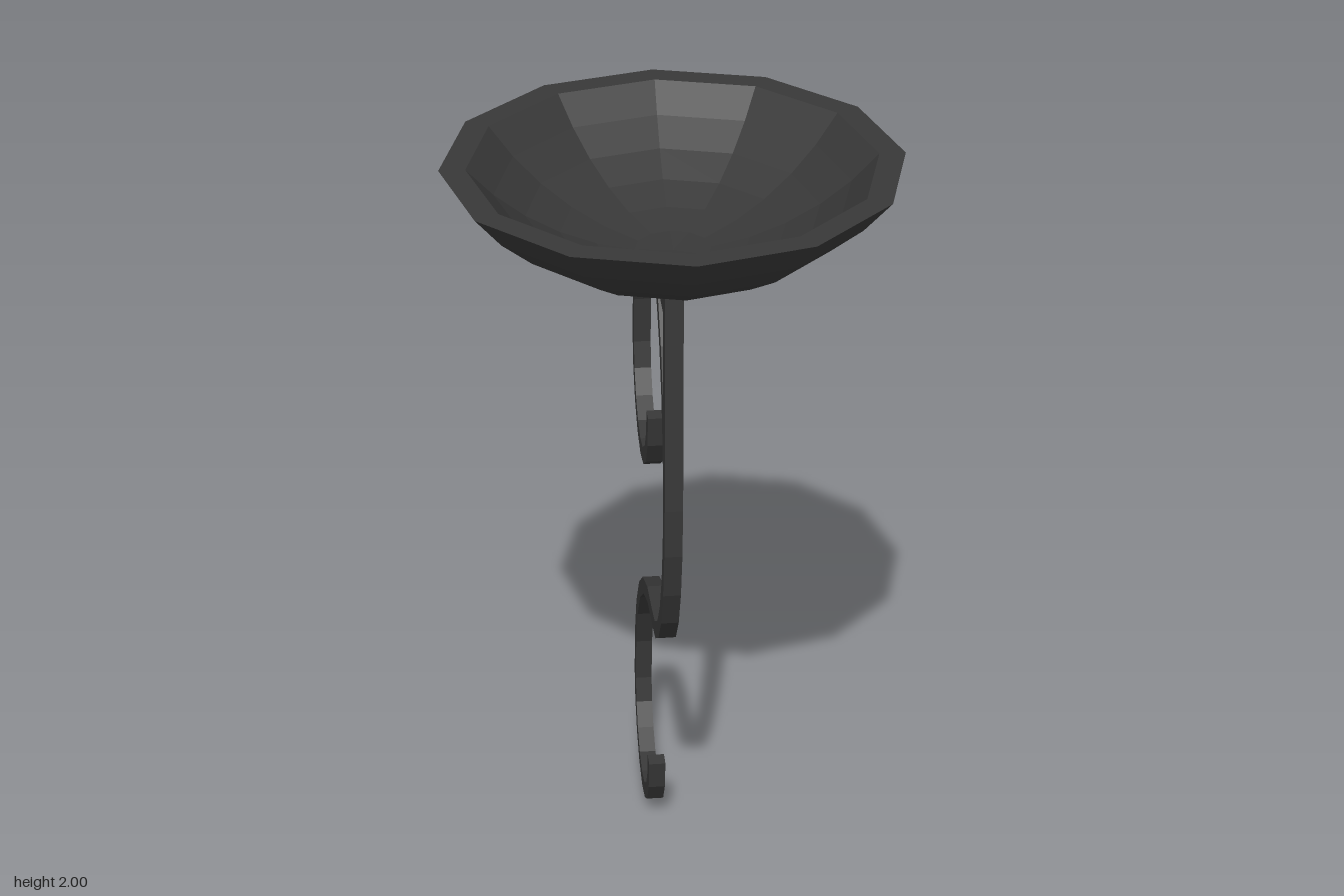
import * as THREE from 'three';

const BAR = 0.04;          // square iron bar thickness
const BOWL_Z = 0.165;      // post and bowl axis
const material = new THREE.MeshStandardMaterial({ color: 0x383838, flatShading: true });

function addMesh(group, geometry, name, x = 0, y = 0, z = 0) {
  const mesh = new THREE.Mesh(geometry, material);
  mesh.name = name;
  mesh.position.set(x, y, z);
  group.add(mesh);
}

// Points on an elliptical arc in the (z, y) plane, angles in degrees
function arc(cz, cy, rz, ry, from, to, steps) {
  return Array.from({ length: steps + 1 }, (_, i) => {
    const a = THREE.MathUtils.degToRad(from + ((to - from) * i) / steps);
    return new THREE.Vector2(cz + rz * Math.cos(a), cy + ry * Math.sin(a));
  });
}

// One scroll: half-circle curl, then a quarter ellipse up to the crest
function scroll(y) {
  return [
    ...arc(-0.435, y, 0.19, 0.19, 0, -180, 8),
    ...arc(-0.13, y, 0.495, 0.49, 180, 90, 6).slice(1),
  ];
}

// Flat ribbon of bar width along a (z, y) path, extruded across x
function barGeometry(path) {
  const left = [], right = [];
  path.forEach((p, i) => {
    const end = i === 0 || i === path.length - 1;
    const t = end
      ? new THREE.Vector2(0, i === 0 ? -1 : 1)
      : path[i + 1].clone().sub(path[i - 1]).normalize();
    const n = new THREE.Vector2(-t.y, t.x).multiplyScalar(BAR / 2);
    left.push(p.clone().add(n));
    right.unshift(p.clone().sub(n));
  });
  const shape = new THREE.Shape([...left, ...right]);
  const geometry = new THREE.ExtrudeGeometry(shape, { depth: BAR, bevelEnabled: false });
  return geometry.translate(0, 0, -BAR / 2).rotateY(-Math.PI / 2);
}

// Spherical cap profile from the pole to the rim, centred at height cy
function capProfile(radius, cy, rimRadius) {
  const rim = Math.asin(rimRadius / radius);
  return Array.from({ length: 7 }, (_, i) => {
    const a = (rim * i) / 6;
    return new THREE.Vector2(radius * Math.sin(a), cy - radius * Math.cos(a));
  });
}

export function createModel() {
  const group = new THREE.Group();
  group.name = 'wallSconce';

  // Twelve-sided bowl with a thick flat rim
  const outer = capProfile(0.593, 2.348, 0.48);
  const inner = capProfile(0.549, 2.348, 0.425).reverse();
  outer[6].y = inner[0].y = 2;
  addMesh(group, new THREE.LatheGeometry([...outer, ...inner], 12), 'bowl', 0, 0, BOWL_Z);

  // Continuous scrolled bar: lower scroll, rounded belly, upper scroll
  const path = [
    ...scroll(0.21),
    ...arc(-0.13, 1.185, 0.298, 0.485, -90, 90, 12).slice(1, -1),
    ...scroll(1.18).reverse(),
  ];
  addMesh(group, barGeometry(path), 'scrollBar');

  // Upright post and the short arm tying it to the upper scroll
  addMesh(group, new THREE.BoxGeometry(BAR, 0.59, BAR), 'post', 0, 1.475, BOWL_Z + 0.005);
  addMesh(group, new THREE.BoxGeometry(BAR, 0.037, 0.29), 'arm', 0, 1.665, 0.015);

  return group;
}
